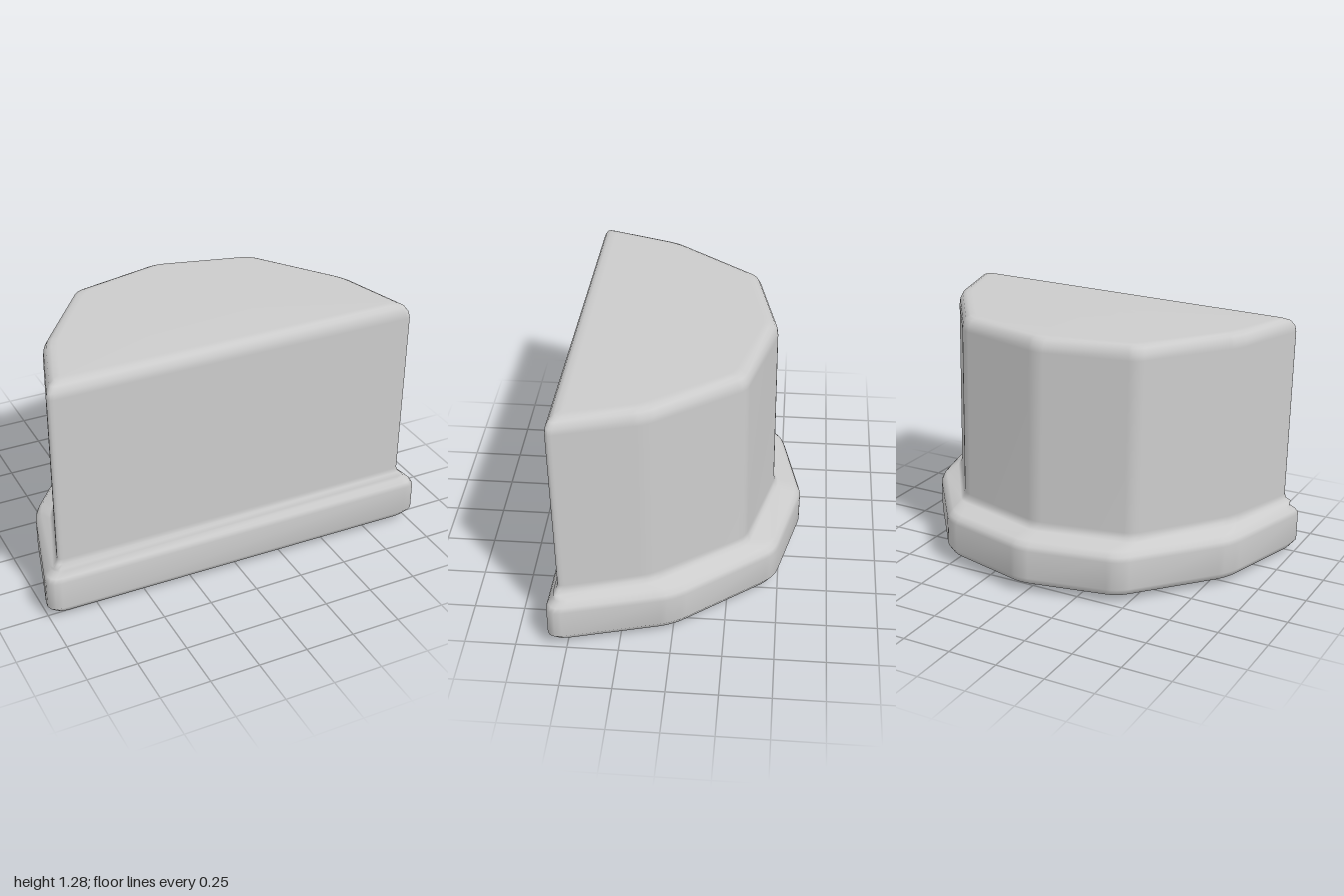
import * as THREE from 'three';

// Plan corners [x, z, corner rounding], starting at the front right
const BASE = [[-1.025, 0.556, 0.08], [1.025, 0.596, 0.08], [0.87, -0.01, 0.07], [0.505, -0.485, 0.06],
  [0.02, -0.605, 0.05], [-0.475, -0.495, 0.06], [-0.865, -0.03, 0.07]];
const BODY = [[-0.945, 0.515, 0.035], [0.93, 0.55, 0.035], [0.81, 0.115, 0.05], [0.5, -0.325, 0.04],
  [0.01, -0.457, 0.04], [-0.475, -0.347, 0.04], [-0.805, 0.095, 0.05]];

// Move every edge of the plan inwards by d and find the new corners
function inset(plan, d) {
  const n = plan.length;
  const dir = (a, b) => {
    const l = Math.hypot(b[0] - a[0], b[1] - a[1]);
    return [(b[0] - a[0]) / l, (b[1] - a[1]) / l];
  };
  return plan.map((p, i) => {
    const u = dir(plan[(i + n - 1) % n], p), v = dir(p, plan[(i + 1) % n]);
    const k = d / (1 + u[0] * v[0] + u[1] * v[1]);
    return [p[0] + k * (u[1] + v[1]), p[1] - k * (u[0] + v[0]), p[2]];
  });
}

// Replace each corner by a short curve
function rounded(plan, steps = 4) {
  const n = plan.length, out = [];
  plan.forEach((p, i) => {
    const c = new THREE.Vector2(p[0], p[1]);
    const towards = (q) => new THREE.Vector2(q[0], q[1]).sub(c).setLength(p[2]).add(c);
    const curve = new THREE.QuadraticBezierCurve(towards(plan[(i + n - 1) % n]), c, towards(plan[(i + 1) % n]));
    out.push(...curve.getPoints(steps));
  });
  return out;
}

// Loft a stack of [plan, inset, height] sections and close both ends
function loft(levels) {
  const pos = [], index = [];
  const add = (x, y, z) => {
    // slight lean and uneven ends
    pos.push(x - 0.009 * (y - 0.6), y + 0.008 * x - (0.011 - 0.006 * y) * z, z + 0.013 * (y - 0.8) * (y > 0.28 ? 1 : 0));
  };
  let n = 0;
  for (const [plan, d, y] of levels) {
    const ring = rounded(inset(plan, d));
    n = ring.length;
    ring.forEach((p) => add(p.x, y, p.y));
  }
  for (let r = 0; r < levels.length - 1; r++) {
    for (let i = 0; i < n; i++) {
      const a = r * n + i, b = r * n + (i + 1) % n;
      index.push(a, b, b + n, a, b + n, a + n);
    }
  }
  const last = (levels.length - 1) * n, c = levels.length * n;
  add(0, levels[0][2] - 0.002, 0.15);
  add(0, levels[levels.length - 1][2] + 0.002, 0.15);
  for (let i = 0; i < n; i++) {
    const j = (i + 1) % n;
    index.push(c, j, i, c + 1, last + i, last + j);
  }
  const geo = new THREE.BufferGeometry();
  geo.setAttribute('position', new THREE.Float32BufferAttribute(pos, 3));
  geo.setIndex(index);
  geo.computeVertexNormals();
  return geo;
}

export function createModel() {
  const group = new THREE.Group();
  group.name = 'pedestalBlock';
  const material = new THREE.MeshStandardMaterial({ color: 0xcccccc });
  // Plinth with soft edges flowing through a small cove into the upright body
  const block = new THREE.Mesh(loft([
    [BASE, 0.14, 0.012], [BASE, 0.07, 0.02], [BASE, 0.025, 0.042], [BASE, 0, 0.08],
    [BASE, 0, 0.225], [BASE, 0.01, 0.248], [BASE, 0.03, 0.27],
    [BODY, -0.02, 0.289], [BODY, -0.006, 0.305], [BODY, 0, 0.33],
    [BODY, 0, 1.2], [BODY, 0.004, 1.23], [BODY, 0.018, 1.257], [BODY, 0.04, 1.268], [BODY, 0.07, 1.271],
  ]), material);
  block.name = 'plinthAndBody';
  group.add(block);
  return group;
}
